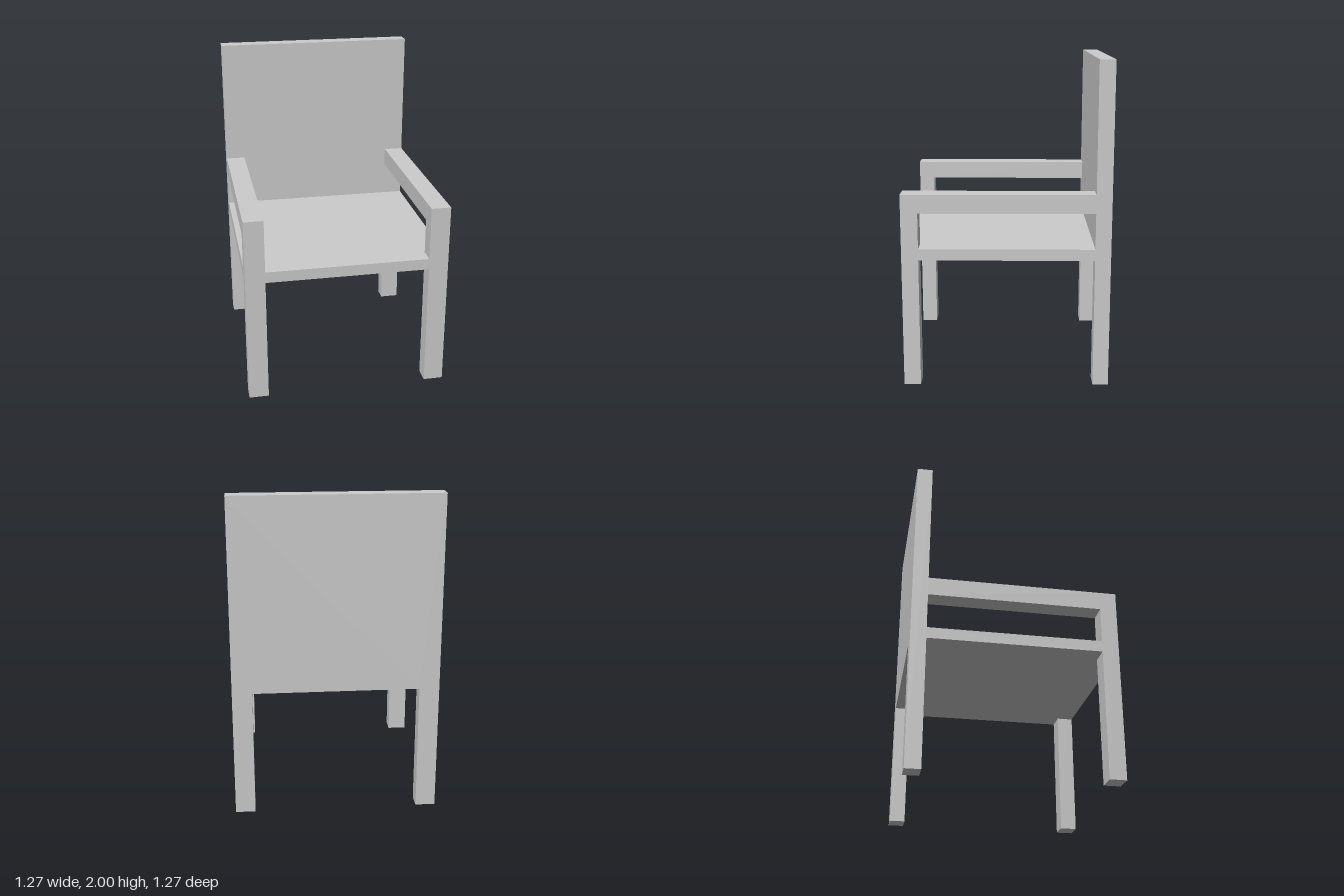
import * as THREE from 'three';

const W = 0.633;          // half width and half depth
const INNER = 0.51;       // inner face of the legs
const BACK_Z = -0.537;    // front face of the backrest
const POST_Z = 0.53;      // rear face of the front legs
const SEAT_Y = 0.8, SEAT_TOP = 0.87;
const ARM_Y = 1.09, ARM_TOP = 1.205;

export function createModel() {
  const chair = new THREE.Group();
  chair.name = 'armchair';
  const material = new THREE.MeshStandardMaterial({ color: 0xcccccc, flatShading: true });

  const add = (name, geometry) => {
    const mesh = new THREE.Mesh(geometry, material);
    mesh.name = name;
    chair.add(mesh);
    return mesh;
  };

  // Box given by its minimum and maximum corners
  const addBox = (name, [x0, y0, z0], [x1, y1, z1]) =>
    add(name, new THREE.BoxGeometry(x1 - x0, y1 - y0, z1 - z0))
      .position.set((x0 + x1) / 2, (y0 + y1) / 2, (z0 + z1) / 2);

  const extrude = (points, depth) => new THREE.ExtrudeGeometry(
    new THREE.Shape(points.map(([x, y]) => new THREE.Vector2(x, y))),
    { depth, bevelEnabled: false });

  // Backrest panel and rear legs, cut from one board
  const back = extrude([
    [-W, 0], [-INNER, 0], [-INNER, SEAT_Y], [INNER, SEAT_Y],
    [INNER, 0], [W, 0], [W, 2], [-W, 2],
  ], BACK_Z + W);
  add('backrestAndRearLegs', back.translate(0, 0, -W));

  // Seat board, notched around the front legs
  const seat = extrude([
    [-INNER, -W], [INNER, -W], [INNER, -POST_Z], [W, -POST_Z],
    [W, -BACK_Z], [-W, -BACK_Z], [-W, -POST_Z], [-INNER, -POST_Z],
  ], SEAT_TOP - SEAT_Y);
  add('seat', seat.rotateX(-Math.PI / 2).translate(0, SEAT_Y, 0));

  // Front legs rising to the armrests
  for (const [side, x0, x1] of [['left', INNER, W], ['right', -W, -INNER]]) {
    addBox(`${side}FrontLeg`, [x0, 0, POST_Z], [x1, ARM_TOP, W]);
    addBox(`${side}Armrest`, [x0, ARM_Y, BACK_Z], [x1, ARM_TOP, POST_Z]);
  }

  return chair;
}
